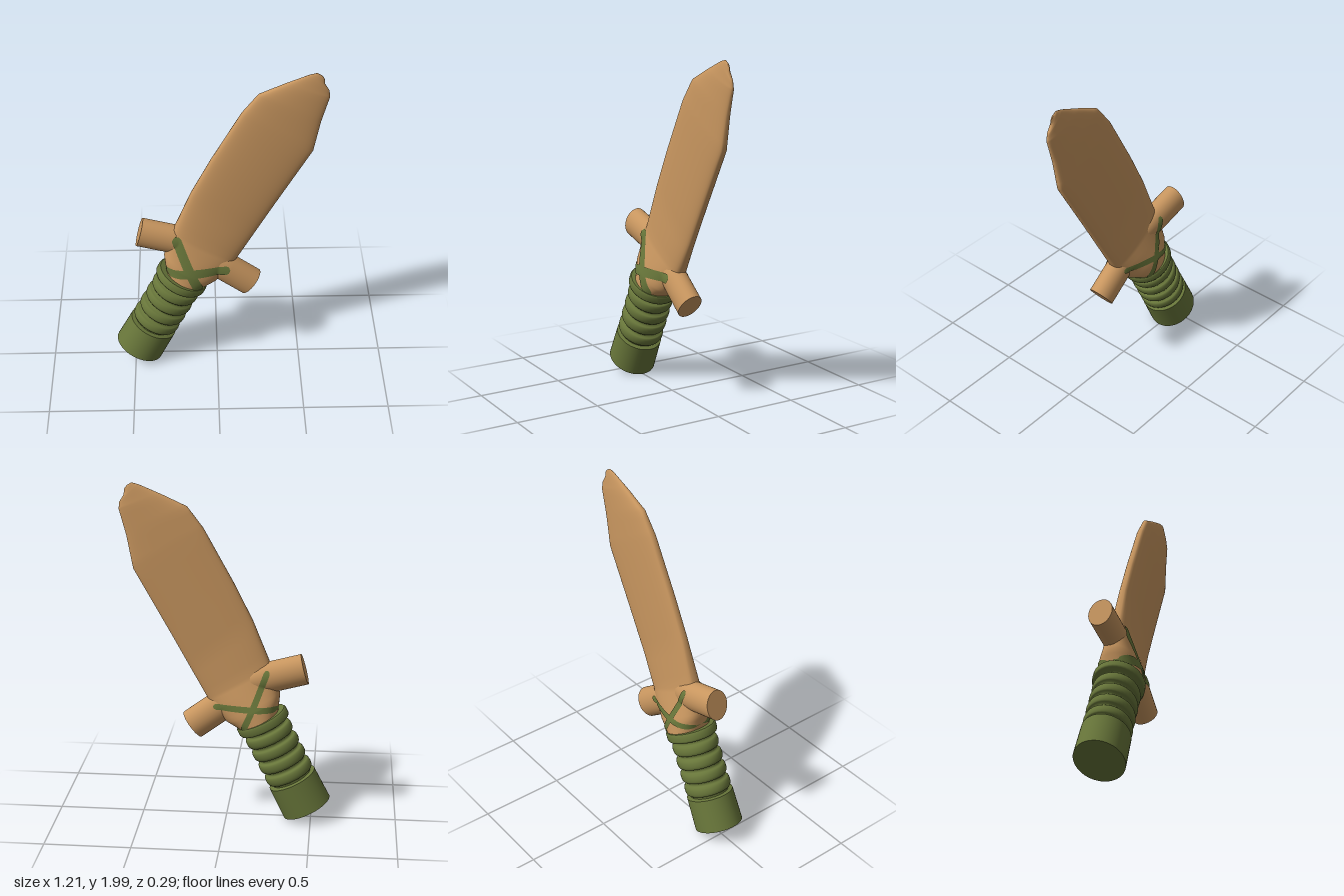
import * as THREE from 'three';

const wood = new THREE.MeshStandardMaterial({ color: 0xc8965f });
wood.name = 'wood';
const green = new THREE.MeshStandardMaterial({ color: 0x68763a, side: THREE.DoubleSide });
green.name = 'green wrap';

// Blade and guard sections: left x, y, right x, y, half thickness, roundness
const rows = [
  [-0.30, 0.68, -0.07, 0.57, 0.125, 0.9],
  [-0.31, 0.78, 0.00, 0.61, 0.115, 0.8],
  [-0.29, 0.87, 0.07, 0.69, 0.088, 0.7],
  [-0.25, 0.97, 0.11, 0.75, 0.062, 0.6],
  [-0.15, 1.22, 0.21, 0.93, 0.046, 0.6],
  [-0.04, 1.44, 0.33, 1.15, 0.044, 0.6],
  [0.13, 1.75, 0.53, 1.51, 0.042, 0.6],
  [0.22, 1.87, 0.565, 1.70, 0.036, 0.7],
  [0.36, 1.935, 0.605, 1.85, 0.026, 0.8],
  [0.49, 1.99, 0.60, 1.89, 0.015, 0.9],
  [0.53, 2.00, 0.575, 1.93, 0.009, 1],
  [0.555, 1.985, 0.57, 1.965, 0.004, 1],
  [0.563, 1.975, 0.563, 1.975, 0, 1],
];

// Guard arms: outer end, inward direction, straight length, z offset
const arms = [
  { name: 'rightGuardArm', x: -0.45, y: 0.94, dx: 0.965, dy: -0.262, len: 0.2, z: -0.015 },
  { name: 'leftGuardArm', x: 0.2, y: 0.572, dx: -0.8, dy: 0.6, len: 0.18, z: 0.003 },
];
const ARM_R = 0.091, ARM_Z = 0.07, DOME = 0.2;

function section(s) {
  const i = Math.min(Math.floor(s), rows.length - 2);
  return rows[i].map((v, k) => v + (rows[i + 1][k] - v) * (s - i));
}

function gridGeometry(nu, nv, point) {
  const pos = [], index = [];
  for (let j = 0; j <= nv; j++) for (let i = 0; i < nu; i++) pos.push(...point(i, j));
  const geo = new THREE.BufferGeometry();
  geo.setAttribute('position', new THREE.Float32BufferAttribute(pos, 3));
  return { geo, index };
}

// Closed loft through the sections
function bladeGeometry() {
  const n = 48, sub = 4, m = (rows.length - 1) * sub;
  const { geo, index } = gridGeometry(n, m, (i, j) => {
    const [lx, ly, rx, ry, h, e] = section(j / sub);
    const a = (i / n) * Math.PI * 2, u = Math.cos(a), v = Math.sin(a);
    const z = h * Math.sign(v) * Math.pow(Math.abs(v), e);
    return [(lx + rx) / 2 + u * (rx - lx) / 2, (ly + ry) / 2 + u * (ry - ly) / 2, z - 0.004];
  });
  for (let j = 0; j < m; j++) for (let i = 0; i < n; i++) {
    const a = j * n + i, b = j * n + (i + 1) % n;
    index.push(a, a + n, b, b, a + n, b + n);
  }
  geo.setIndex(index);
  geo.computeVertexNormals();
  return geo;
}

// Surface height of the guard at x, y on the front (side 1) or back (side -1)
function guardZ(x, y, side) {
  let s = 0, r = section(0);
  while (s < 4 && (r[2] - r[0]) * (y - r[1]) - (r[3] - r[1]) * (x - r[0]) > 0) r = section(s += 0.01);
  const wx = r[2] - r[0], wy = r[3] - r[1];
  const u = 2 * ((x - r[0]) * wx + (y - r[1]) * wy) / (wx * wx + wy * wy) - 1;
  let z = r[4] * Math.pow(Math.max(0, 1 - u * u), r[5] / 2) - 0.004 * side;
  for (const a of arms) {
    const t = (x - a.x) * a.dx + (y - a.y) * a.dy;
    const d = ((x - a.x) * a.dy - (y - a.y) * a.dx) / ARM_R;
    const k = Math.max(0, (t - a.len) / DOME);
    if (t > 0 && 1 - k * k - d * d > 0) z = Math.max(z, ARM_Z * Math.sqrt(1 - k * k - d * d) + a.z * side);
  }
  return z * side;
}

// Painted strap that follows the guard surface
function strapGeometry(points, halfWidth, side) {
  const curve = new THREE.CatmullRomCurve3(points.map(p => new THREE.Vector3(p[0], p[1], 0)));
  const n = 9, m = 48;
  const { geo, index } = gridGeometry(n, m, (i, j) => {
    const t = j / m, p = curve.getPointAt(t), d = curve.getTangentAt(t);
    const end = Math.min(1, Math.min(t, 1 - t) / 0.08);
    const w = halfWidth * Math.sqrt(1 - (1 - end) ** 2) * (i / (n - 1) * 2 - 1);
    const x = p.x - d.y * w, y = p.y + d.x * w;
    return [x, y, guardZ(x, y, side) + 0.006 * side];
  });
  for (let j = 0; j < m; j++) for (let i = 0; i < n - 1; i++) {
    const a = j * n + i, b = a + 1;
    if (side > 0) index.push(a, a + n, b, b, a + n, b + n);
    else index.push(a, b, a + n, b, b + n, a + n);
  }
  // Keep the winding facing away from the guard
  for (let k = 0; k < index.length; k += 3) [index[k + 1], index[k + 2]] = [index[k + 2], index[k + 1]];
  geo.setIndex(index);
  geo.computeVertexNormals();
  return geo;
}

const lathe = (pts, n) => new THREE.LatheGeometry(pts.map(p => new THREE.Vector2(p[0], p[1])), n);

export function createModel() {
  const group = new THREE.Group();
  const add = (name, geo, mat) => {
    const mesh = new THREE.Mesh(geo, mat);
    mesh.name = name;
    group.add(mesh);
    return mesh;
  };

  add('bladeAndGuard', bladeGeometry(), wood);

  // Round guard arms, domed where they sink into the guard
  for (const a of arms) {
    const pts = [[0, 0], [ARM_R, 0], [ARM_R, 0], [ARM_R, a.len]];
    for (let i = 1; i <= 8; i++) {
      const q = i / 8 * Math.PI / 2;
      pts.push([ARM_R * Math.cos(q), a.len + DOME * Math.sin(q)]);
    }
    const arm = add(a.name, lathe(pts, 32), wood);
    arm.position.set(a.x, a.y, a.z);
    arm.rotation.z = Math.atan2(-a.dx, a.dy);
    arm.scale.z = ARM_Z / ARM_R;
  }

  // Grip: pommel, four wrapped rings and a collar
  const grip = [[0, 0], [0.15, 0], [0.15, 0], [0.146, 0.2], [0.146, 0.2], [0.12, 0.205], [0.12, 0.205]];
  for (let k = 0; k < 4; k++) {
    const c = 0.252 + k * 0.086;
    for (let i = 0; i <= 8; i++) {
      const q = (i / 8 - 0.5) * Math.PI;
      grip.push([0.12 + 0.025 * Math.sqrt(Math.max(0, Math.cos(q))), c + 0.032 * Math.sin(q)]);
    }
    grip.push([0.12, c + 0.042]);
  }
  grip.push([0.12, 0.565], [0.152, 0.568], [0.158, 0.58], [0.158, 0.612], [0.15, 0.622], [0.15, 0.622], [0, 0.625]);
  const handle = add('grip', lathe(grip, 40), green);
  handle.position.set(-0.475, 0.075, 0);
  handle.rotation.z = -0.461;
  handle.scale.z = 0.92;

  // Crossed straps, narrower on the back
  const across = [[-0.305, 0.715], [-0.16, 0.715], [0.075, 0.712]];
  const along = [[-0.243, 0.945], [-0.175, 0.76], [-0.10, 0.58]];
  for (const [side, label, w] of [[1, 'front', 0.028], [-1, 'back', 0.018]]) {
    add(label + 'CrossStrap', strapGeometry(across, w, side), green);
    add(label + 'LongStrap', strapGeometry(along, w, side), green);
  }
  return group;
}
